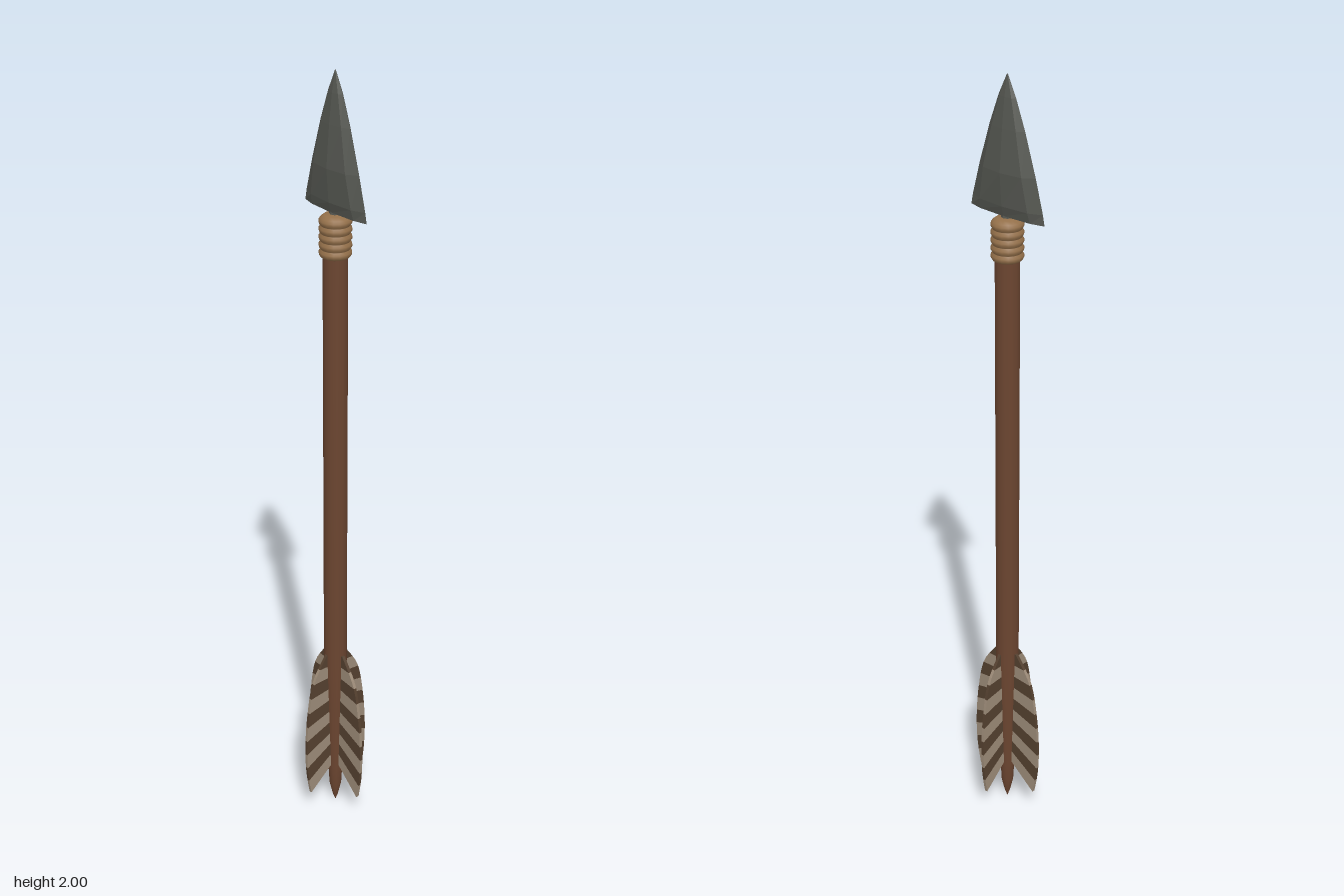
import * as THREE from 'three';

const mat = (color, opts = {}) => new THREE.MeshStandardMaterial({ color, ...opts });
const v2 = (pts) => pts.map(([x, y]) => new THREE.Vector2(x, y));

function addMesh(parent, name, geometry, material) {
  const mesh = new THREE.Mesh(geometry, material);
  mesh.name = name;
  parent.add(mesh);
  return mesh;
}

// Lens-shaped rings [y, half width in z, half thickness in x] joined into a bevelled blade
function bladeGeometry(rings) {
  const section = [[0, 1], [0.72, 0.68], [1, 0], [0.72, -0.68], [0, -1], [-0.72, -0.68], [-1, 0], [-0.72, 0.68]];
  const n = section.length;
  const pos = [];
  const index = [];
  for (const [y, w, t] of rings) for (const [sx, sz] of section) pos.push(sx * t, y, sz * w);
  for (let r = 0; r < rings.length - 1; r++) {
    for (let i = 0; i < n; i++) {
      const a = r * n + i, b = r * n + (i + 1) % n;
      index.push(a, b, b + n, a, b + n, a + n);
    }
  }
  // Base cap
  const c = pos.length / 3;
  pos.push(0, rings[0][0], 0);
  for (let i = 0; i < n; i++) index.push(c, (i + 1) % n, i);
  const g = new THREE.BufferGeometry();
  g.setAttribute('position', new THREE.Float32BufferAttribute(pos, 3));
  g.setIndex(index);
  const flat = g.toNonIndexed();
  flat.computeVertexNormals();
  return flat;
}

// One feather vane along +x, cut into slanted barbs of alternating colour
function makeVane(light, dark) {
  const vane = new THREE.Group();
  const bands = 10, depth = 0.008, inner = 0.012;
  const edge = new THREE.SplineCurve(v2([
    [0.085, 0.065], [0.095, 0.13], [0.098, 0.21], [0.091, 0.31], [0.072, 0.41], [0.03, 0.48],
  ]));
  for (let i = 0; i < bands; i++) {
    const t0 = i / bands, t1 = (i + 1) / bands;
    const y0 = 0.13 + 0.35 * t0, y1 = 0.13 + 0.35 * t1;
    const shape = new THREE.Shape([
      new THREE.Vector2(inner, y0), edge.getPointAt(t0),
      edge.getPointAt((t0 + t1) / 2), edge.getPointAt(t1), new THREE.Vector2(inner, y1),
    ]);
    const g = new THREE.ExtrudeGeometry(shape, { depth, bevelEnabled: false });
    g.translate(0, 0, -depth / 2);
    addMesh(vane, 'featherBarb', g, i % 2 ? dark : light);
  }
  return vane;
}

export function createModel() {
  const arrow = new THREE.Group();
  arrow.name = 'arrow';
  const wood = mat(0x6b4530);
  const cord = mat(0x94704a);
  const stone = mat(0x565852, { flatShading: true });
  const light = mat(0x9c8b78);
  const dark = mat(0x54402f);

  // Shaft, narrowing to a pointed tail
  const shaft = v2([
    [0, 0], [0.007, 0.02], [0.016, 0.06], [0.019, 0.12], [0.025, 0.3], [0.03, 0.45], [0.03, 1.66], [0, 1.66],
  ]);
  addMesh(arrow, 'shaft', new THREE.LatheGeometry(shaft, 12), wood);

  // Cord wrapped below the head
  const wrap = [[0.029, 1.565]];
  const turns = 5;
  for (let i = 0; i < turns; i++) {
    const y = 1.568 + i * 0.019;
    wrap.push([0.035, y], [0.039, y + 0.006], [0.039, y + 0.012], [0.035, y + 0.018]);
  }
  wrap.push([0.026, 1.669], [0, 1.672]);
  addMesh(arrow, 'binding', new THREE.LatheGeometry(v2(wrap), 16), cord);

  // Short tang joining binding and head
  const tang = addMesh(arrow, 'tang', new THREE.CylinderGeometry(0.012, 0.016, 0.04, 8), stone);
  tang.position.y = 1.675;

  // Faceted arrowhead, broad along z
  addMesh(arrow, 'arrowhead', bladeGeometry([
    [1.675, 0.112, 0.013], [1.7, 0.107, 0.02], [1.78, 0.085, 0.026],
    [1.88, 0.053, 0.018], [1.95, 0.026, 0.01], [2, 0.001, 0.001],
  ]), stone);

  // Four vanes around the tail, the pair along z slightly wider
  for (let i = 0; i < 4; i++) {
    const vane = makeVane(light, dark);
    vane.name = 'featherVane';
    vane.rotation.y = i * Math.PI / 2;
    vane.scale.x = i % 2 ? 1.11 : 1;
    arrow.add(vane);
  }
  return arrow;
}
